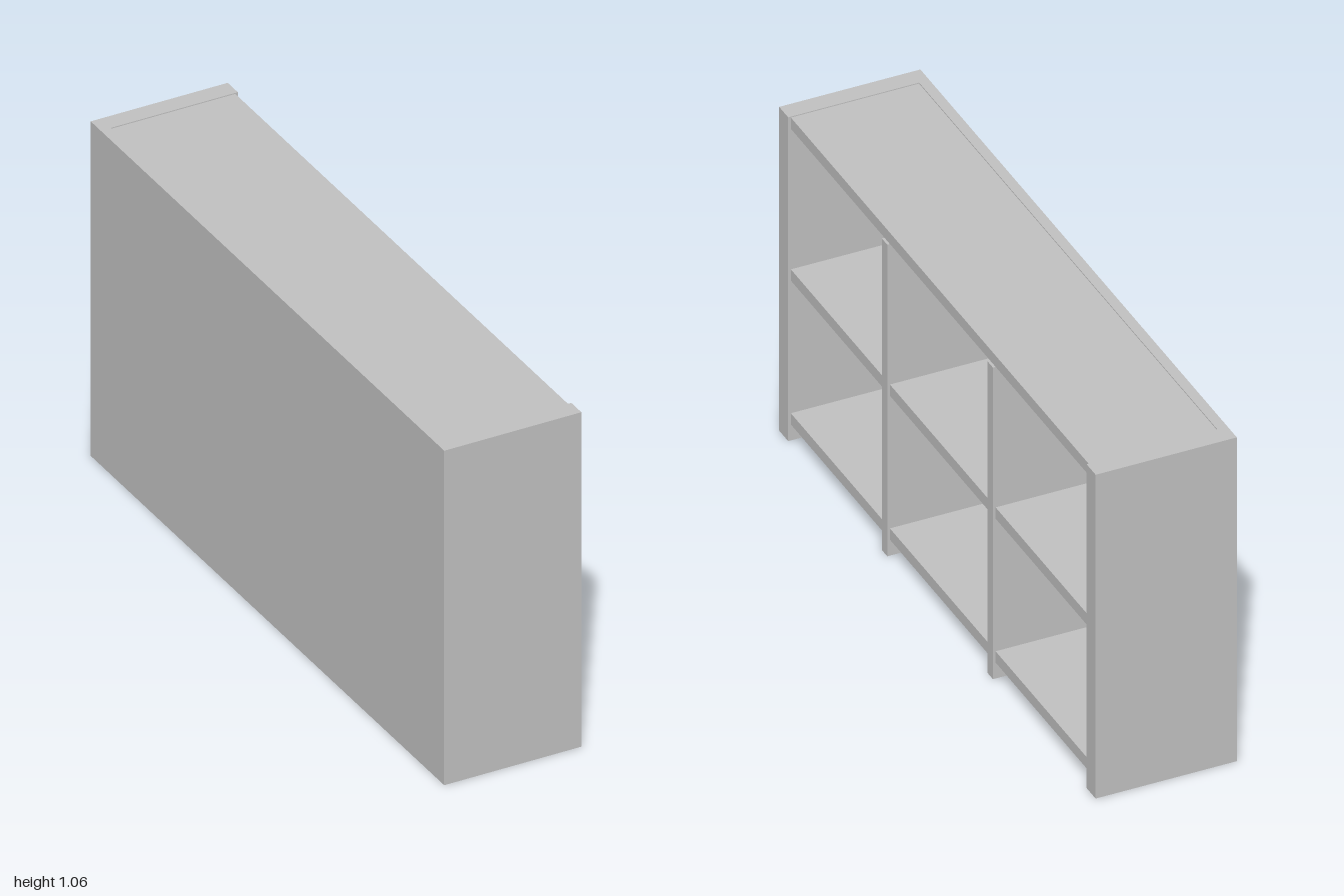
import * as THREE from 'three';

export function createModel() {
  const model = new THREE.Group();
  model.name = 'bookcase';
  const grey = new THREE.MeshStandardMaterial({ color: 0xc0c0c0 });
  grey.name = 'light grey';

  // Board given by its limits on each axis
  function board(name, [x0, x1], [y0, y1], [z0, z1]) {
    const mesh = new THREE.Mesh(new THREE.BoxGeometry(x1 - x0, y1 - y0, z1 - z0), grey);
    mesh.position.set((x0 + x1) / 2, (y0 + y1) / 2, (z0 + z1) / 2);
    mesh.name = name;
    model.add(mesh);
  }

  const height = 1.06, back = -0.182, front = 0.213, shelfFront = 0.205;
  const side = 0.943, divIn = 0.317, divOut = 0.351;

  // Back panel, open side faces +x
  board('backPanel', [-0.213, back], [0, height], [-1, 1]);

  // End panels and inner dividers, mirrored in z
  board('frontEndPanel', [back, front], [0, height], [side, 1]);
  board('rearEndPanel', [back, front], [0, height], [-1, -side]);
  board('frontDivider', [back, front], [0, 1.02], [divIn, divOut]);
  board('rearDivider', [back, front], [0, 1.02], [-divOut, -divIn]);

  // Top board between the end panels
  board('topBoard', [back, shelfFront], [1.02, 1.057], [-side, side]);

  // Two rows of shelves in three bays
  const bays = [[-side, -divOut], [-divIn, divIn], [divOut, side]];
  for (const [row, y] of [['lower', 0.052], ['middle', 0.523]]) {
    bays.forEach((bay, i) => board(`${row}Shelf${i + 1}`, [back, shelfFront], [y, y + 0.037], bay));
  }
  return model;
}
